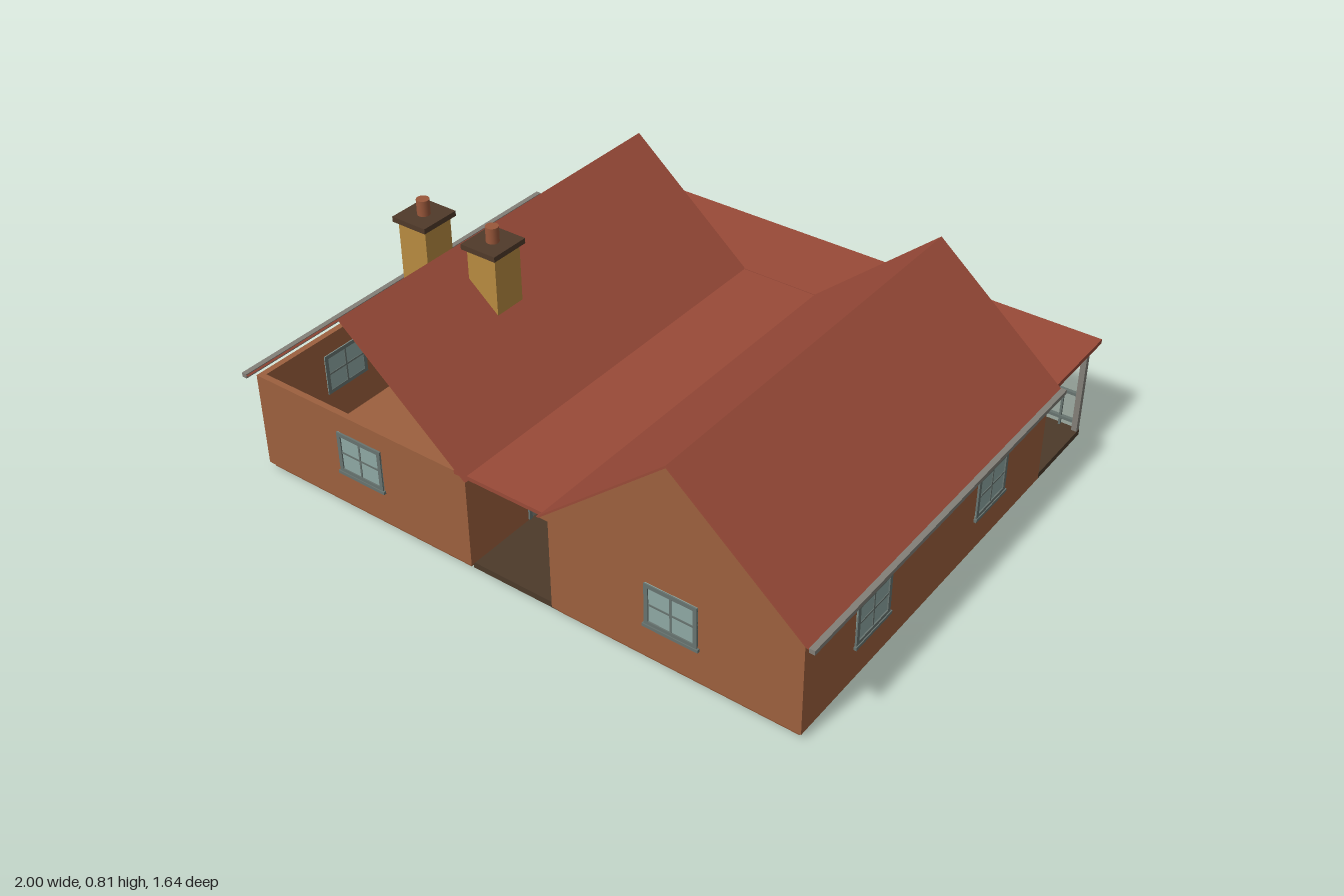
import * as THREE from 'three';

const mat = (name, color, side = THREE.FrontSide) => {
  const m = new THREE.MeshStandardMaterial({ color, side });
  m.name = name;
  return m;
};

export function createModel() {
  const M = {
    wall: mat('wall brown', 0x9c603e),
    plinth: mat('plinth brown', 0x8a5030),
    roof: mat('roof red', 0x994a38, THREE.DoubleSide),
    deck: mat('deck dark brown', 0x4c3a2a),
    grey: mat('post grey', 0x827f78),
    frame: mat('frame grey', 0x67736f),
    glass: mat('glass', 0x8ea8a3),
    brick: mat('chimney ochre', 0xb78b40),
    cap: mat('cap brown', 0x503a2a),
    pot: mat('pot terracotta', 0x99573a),
  };
  const root = new THREE.Group();
  root.name = 'twinCottage';

  // Box given by its limits on each axis
  const box = (parent, name, m, x0, x1, y0, y1, z0, z1) => {
    const mesh = new THREE.Mesh(new THREE.BoxGeometry(x1 - x0, y1 - y0, z1 - z0), m);
    mesh.position.set((x0 + x1) / 2, (y0 + y1) / 2, (z0 + z1) / 2);
    mesh.name = name;
    parent.add(mesh);
    return mesh;
  };
  // Profile in x,y extruded from z0 to z1
  const prism = (parent, name, m, pts, z0, z1) => {
    const shape = new THREE.Shape(pts.map(p => new THREE.Vector2(...p)));
    const geo = new THREE.ExtrudeGeometry(shape, { depth: z1 - z0, bevelEnabled: false });
    const mesh = new THREE.Mesh(geo, m);
    mesh.position.z = z0;
    mesh.name = name;
    parent.add(mesh);
  };
  const place = (parent, g, name, x, y, z, turn) => {
    g.name = name;
    g.position.set(x, y, z);
    g.rotation.y = turn;
    parent.add(g);
  };

  // Four-pane window passing through the wall, facing +z
  const windowUnit = () => {
    const g = new THREE.Group(), w = 0.085, h = 0.07, t = 0.013, back = -0.024, front = 0.006;
    box(g, 'windowGlass', M.glass, -w, w, -h, h, back + 0.002, 0.002);
    for (const s of [-1, 1]) {
      box(g, 'windowJamb', M.frame, s * (w - t / 2) - t / 2, s * (w - t / 2) + t / 2, -h, h, back, front);
      box(g, 'windowRail', M.frame, -w, w, s * (h - t / 2) - t / 2, s * (h - t / 2) + t / 2, back, front);
    }
    box(g, 'windowMullion', M.frame, -0.003, 0.003, -h, h, back, 0.004);
    box(g, 'windowTransom', M.frame, -w, w, -0.003, 0.003, back, 0.004);
    box(g, 'windowSill', M.frame, -w - 0.005, w + 0.005, -h - 0.008, -h + 0.002, -0.01, 0.009);
    return g;
  };

  // Framed door with a knob, standing on y = 0 and facing +z
  const doorUnit = () => {
    const g = new THREE.Group(), w = 0.075, h = 0.26;
    box(g, 'doorLeaf', M.grey, -w, w, 0, h, -0.015, 0.003);
    for (const s of [-1, 1])
      box(g, 'doorJamb', M.frame, s * w - 0.006, s * w + 0.006, 0, h, -0.015, 0.006);
    box(g, 'doorLintel', M.frame, -w - 0.006, w + 0.006, h - 0.006, h + 0.006, -0.015, 0.006);
    const knob = new THREE.Mesh(new THREE.SphereGeometry(0.007, 10, 8), M.cap);
    knob.position.set(0.055, 0.13, 0.01);
    knob.name = 'doorKnob';
    g.add(knob);
    return g;
  };

  const C = 0.553, HW = 0.407, T = 0.02, Z0 = -0.5, Z1 = 0.8, EAVE = 0.34, RIDGE = 0.705, RW = 0.43;

  for (const s of [-1, 1]) {
    const house = new THREE.Group();
    house.name = s > 0 ? 'leftHouse' : 'rightHouse';
    root.add(house);
    const c = s * C, a = c - HW, b = c + HW;

    // Floor and four walls
    box(house, 'plinth', M.plinth, a + 0.008, b - 0.014, 0, 0.021, Z0 + 0.012, Z1 - 0.014);
    box(house, 'floor', M.wall, a, b, 0.02, 0.024, Z0, Z1);
    box(house, 'frontWall', M.wall, a, b, 0.02, EAVE, Z1 - T, Z1);
    box(house, 'backWall', M.wall, a, b, 0.02, EAVE, Z0, Z0 + T);
    box(house, 'sideWall', M.wall, a, a + T, 0.02, EAVE, Z0, Z1);
    box(house, 'sideWall', M.wall, b - T, b, 0.02, EAVE, Z0, Z1);

    // Gables: the chimney house is open at the front
    const tri = [[c - RW + 0.004, EAVE], [c + RW - 0.004, EAVE], [c, RIDGE - 0.006]];
    prism(house, 'backGable', M.wall, tri, -0.528, -0.5);
    if (s > 0) prism(house, 'frontGable', M.wall, tri, 0.795, 0.818);

    // Roof shell
    prism(house, 'roof', M.roof, [
      [c - RW, EAVE], [c - RW + 0.009, EAVE], [c, RIDGE - 0.008],
      [c + RW - 0.009, EAVE], [c + RW, EAVE], [c, RIDGE],
    ], -0.53, 0.82);

    // Gutter along the outer eave
    box(house, 'gutter', M.grey, s * 0.991 - 0.009, s * 0.991 + 0.009, 0.33, 0.344, -0.53, 0.82);

    // Openings
    const out = s * Math.PI / 2, inner = s * (C - HW), outer = s * (C + HW);
    place(house, windowUnit(), 'frontWindow', c, 0.207, Z1, 0);
    for (const z of [0.47, -0.17])
      place(house, windowUnit(), 'sideWindow', outer, 0.207, z, out);
    place(house, windowUnit(), 'passageWindow', inner, 0.207, -0.17, -out);
    place(house, doorUnit(), 'passageDoor', inner, 0.024, 0.47, -out);
    place(house, doorUnit(), 'backDoor', c, 0.024, Z0, Math.PI);
  }

  // Chimneys
  for (const x of [-0.69, -0.425]) {
    const g = new THREE.Group();
    box(g, 'chimneyStack', M.brick, -0.052, 0.052, 0.52, 0.742, -0.054, 0.054);
    box(g, 'chimneyCap', M.cap, -0.063, 0.063, 0.74, 0.757, -0.067, 0.067);
    const pot = new THREE.Mesh(new THREE.CylinderGeometry(0.02, 0.02, 0.052, 16), M.pot);
    pot.position.y = 0.781;
    pot.name = 'chimneyPot';
    g.add(pot);
    place(root, g, 'chimney', x, 0, 0.325, 0);
  }

  // Passage and veranda decks and flat roofs
  box(root, 'passageDeck', M.deck, -0.152, 0.152, 0, 0.02, -0.488, 0.785);
  box(root, 'verandaDeck', M.deck, -0.95, 0.95, 0, 0.02, -0.8, -0.488);
  box(root, 'passageRoof', M.roof, -0.18, 0.18, 0.335, 0.348, -0.53, 0.805);
  box(root, 'verandaRoof', M.roof, -0.97, 0.97, 0.335, 0.35, -0.825, -0.526);

  // Veranda posts
  const post = (x, z) => box(root, 'post', M.grey, x - 0.009, x + 0.009, 0.02, 0.336, z - 0.009, z + 0.009);
  for (let i = 0; i < 6; i++) post(-0.94 + i * 0.376, -0.79);
  post(0, -0.5);

  // Railings on both sides of the veranda entrance
  for (const s of [-1, 1]) {
    const a = s > 0 ? 0.188 : -0.94, b = a + 0.752;
    for (const y of [0.05, 0.15])
      box(root, 'handrail', M.frame, a, b, y - 0.005, y + 0.005, -0.796, -0.784);
    for (let i = 1; i < 14; i++) {
      const x = a + i * 0.752 / 14;
      box(root, 'baluster', M.frame, x - 0.0035, x + 0.0035, 0.02, 0.148, -0.7935, -0.7865);
    }
  }
  return root;
}
